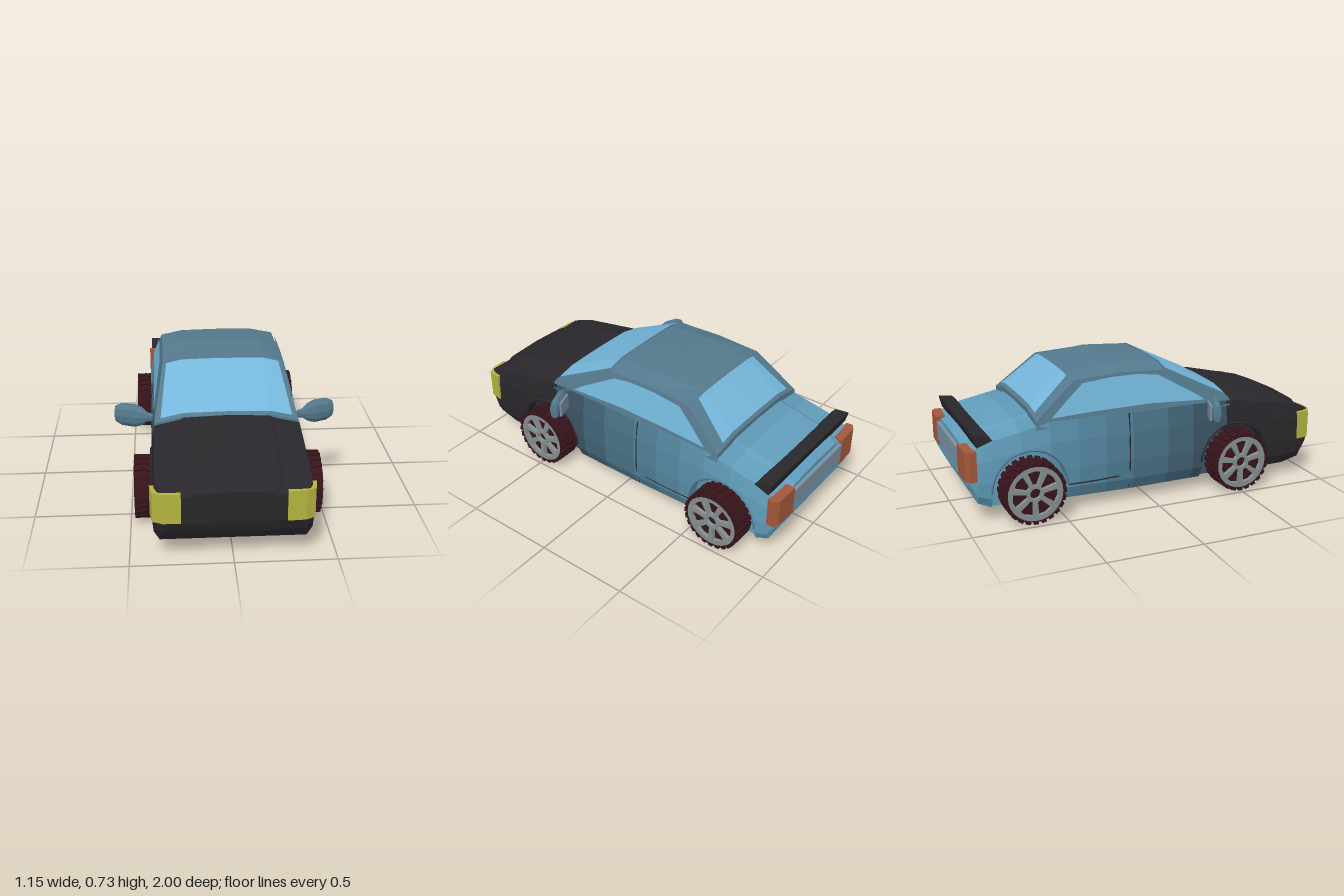
import * as THREE from 'three';
import { mergeGeometries } from 'three/addons/utils/BufferGeometryUtils.js';

const lerp = THREE.MathUtils.lerp;
const mat = (color) => new THREE.MeshStandardMaterial({ color, flatShading: true, side: THREE.DoubleSide });
const DARK = mat(0x29272b), GLASS = mat(0x74b6da), TYRE = mat(0x36141a), RIM = mat(0x848e90);
const YELLOW = mat(0xb4b440), ORANGE = mat(0xa4583a), CABIN = mat(0x54798d), PLATE = mat(0x7a90a2);

function add(parent, name, geo, material) {
  const m = new THREE.Mesh(geo, material);
  m.name = name;
  parent.add(m);
  return m;
}

// Skin over rings ordered front to back; each ring runs anticlockwise seen from the front
function loft(rings, closed, capFront, capBack) {
  const pos = [], idx = [], n = rings[0].length;
  rings.forEach((r) => r.forEach((p) => pos.push(...p)));
  for (let i = 0; i + 1 < rings.length; i++) {
    for (let j = 0; j < (closed ? n : n - 1); j++) {
      const a = i * n + j, b = i * n + (j + 1) % n, c = b + n, d = a + n;
      idx.push(a, d, c, a, c, b);
    }
  }
  const last = (rings.length - 1) * n;
  for (let j = 1; j < n - 1; j++) {
    if (capFront) idx.push(0, j, j + 1);
    if (capBack) idx.push(last, last + j + 1, last + j);
  }
  const g = new THREE.BufferGeometry();
  g.setAttribute('position', new THREE.Float32BufferAttribute(pos, 3));
  g.setIndex(idx);
  g.computeVertexNormals();
  return g;
}

// Flat panel fanned around its middle
function panel(pts) {
  const c = [0, 1, 2].map((k) => pts.reduce((s, p) => s + p[k], 0) / pts.length);
  const loop = [...pts, pts[0]];
  return loft([loop, loop.map(() => c)], false);
}

// Right half of a ring (bottom centre to top centre) completed by its mirror
const mirrorRing = (half, z) => [
  ...half.map(([x, y]) => [x, y, z]),
  ...half.slice(1, -1).reverse().map(([x, y]) => [-x, y, z]),
];

// Body stations: z, underside, shoulder height, top height, half width
const KEYS = [
  [0.995, 0.22, 0.355, 0.37, 0.33], [0.97, 0.16, 0.385, 0.395, 0.375], [0.93, 0.1, 0.4, 0.415, 0.388],
  [0.83, 0.075, 0.43, 0.455, 0.39], [0.5, 0.07, 0.485, 0.53, 0.39], [0.4, 0.07, 0.49, 0.525, 0.39],
  [-0.1, 0.065, 0.49, 0.5, 0.392], [-0.55, 0.07, 0.49, 0.52, 0.39], [-0.85, 0.075, 0.43, 0.455, 0.39],
  [-0.93, 0.11, 0.4, 0.415, 0.388], [-0.975, 0.2, 0.38, 0.39, 0.375],
];
const WHEEL_Z = [0.5, -0.665], ARCH = 0.195, AXLE_Y = 0.163;
const SIDE = [[0, 0.91], [0.15, 0.98], [0.4, 1], [0.75, 0.99], [1, 0.95]];

function keyAt(z) {
  let i = 0;
  while (i < KEYS.length - 2 && KEYS[i + 1][0] > z) i++;
  const a = KEYS[i], b = KEYS[i + 1], t = (a[0] - z) / (a[0] - b[0]);
  return a.map((v, k) => lerp(v, b[k], t));
}
function sideWidth(t) {
  let i = 0;
  while (i < SIDE.length - 2 && SIDE[i + 1][0] < t) i++;
  return lerp(SIDE[i][1], SIDE[i + 1][1], (t - SIDE[i][0]) / (SIDE[i + 1][0] - SIDE[i][0]));
}
function sideX(y, z) {
  const [, yb, ys, , w] = keyAt(z);
  return w * sideWidth(THREE.MathUtils.clamp((y - yb) / (ys - yb), 0, 1));
}
function bodyRing({ z, arch }) {
  const [, yb, ys, yt, w] = keyAt(z), k = w / 0.39;
  const ya = arch === undefined ? yb : AXLE_Y + arch;
  const inner = arch === undefined ? 0.91 * w : 0.33;
  const half = [[0, yb], [inner, yb], [inner, ya], [sideX(ya, z), ya]];
  for (const [t] of SIDE.slice(1)) {
    const y = Math.max(ya, lerp(yb, ys, t));
    half.push([sideX(y, z), y]);
  }
  half.push([0.24 * k, yt - 0.012], [0.215 * k, yt], [0, yt + 0.008]);
  return mirrorRing(half, z);
}

function addBody(car) {
  const body = new THREE.Group();
  body.name = 'body';
  car.add(body);
  // The paint fades from dark at the nose to blue at the tail
  const bands = [0.995, 0.45, 0.25, 0.1, -0.1, -0.25, -0.4, -0.55, -0.7, -0.975];
  const inArch = (z) => WHEEL_Z.find((c) => Math.abs(z - c) < ARCH);
  const stations = [...KEYS.map((k) => k[0]), ...bands].map((z) => {
    const c = inArch(z);
    return { z, arch: c === undefined ? undefined : Math.sqrt(ARCH ** 2 - (z - c) ** 2), o: 0 };
  });
  for (const c of WHEEL_Z) {
    for (let i = 0; i <= 12; i++) {
      const a = (i / 12) * Math.PI;
      stations.push({ z: c + ARCH * Math.cos(a), arch: ARCH * Math.sin(a), o: 0 });
    }
    stations.push({ z: c + ARCH, o: -1 }, { z: c - ARCH, o: 1 });
  }
  stations.sort((a, b) => (Math.abs(a.z - b.z) > 1e-6 ? b.z - a.z : a.o - b.o));
  for (let i = 0; i + 1 < bands.length; i++) {
    const rings = stations.filter((s) => s.z <= bands[i] + 1e-6 && s.z >= bands[i + 1] - 1e-6).map(bodyRing);
    const t = i === 0 ? 0 : THREE.MathUtils.clamp((0.65 - (bands[i] + bands[i + 1]) / 2) / 1.4, 0, 1);
    const paint = mat(0x29272b);
    paint.color.lerp(new THREE.Color(0x619dbb), t);
    add(body, 'bodyPanel', loft(rings, true, i === 0, i === bands.length - 2), paint);
  }
}

// Cabin stations: z, roof height, roof edge height, edge half width, flat half width
const ROOF = [
  [0.47, 0.532, 0.5, 0.367, 0.22], [0.1, 0.71, 0.685, 0.32, 0.22], [-0.15, 0.725, 0.695, 0.318, 0.22],
  [-0.4, 0.703, 0.68, 0.321, 0.2], [-0.62, 0.53, 0.5, 0.367, 0.22],
];

function addCabin(car) {
  const cabin = new THREE.Group();
  cabin.name = 'cabin';
  car.add(cabin);
  add(cabin, 'roof', loft(ROOF.map(([z, y, ye, we, wf]) =>
    mirrorRing([[0, 0.46], [0.375, 0.46], [we, ye], [wf, y], [0, y + 0.004]], z)), true, true, true), CABIN);

  // Front and rear screens lie just above the sloping roof faces
  const row = (a, b, t, f) => {
    const [z, y, ye, we, wf] = a.map((v, k) => lerp(v, b[k], t));
    const half = [[lerp(wf, we, f), lerp(y, ye, f)], [wf, y], [0, y + 0.004]];
    const up = half.map(([x, h]) => [x, h + 0.006, z + Math.sign(z + 0.15) * 0.003]);
    return [...up, ...up.slice(0, -1).reverse().map(([x, h, d]) => [-x, h, d])];
  };
  add(cabin, 'windscreen', loft([row(ROOF[0], ROOF[1], 0.05, 0.8), row(ROOF[0], ROOF[1], 0.97, 0.8)]), GLASS);
  add(cabin, 'rearWindow', loft([row(ROOF[3], ROOF[4], 0.06, 0.4), row(ROOF[3], ROOF[4], 0.93, 0.6)]), GLASS);

  const outline = [[0.32, 0.51], [0.27, 0.545], [0.06, 0.665], [-0.05, 0.68], [-0.2, 0.68], [-0.36, 0.665],
    [-0.45, 0.59], [-0.54, 0.51], [-0.3, 0.52], [0, 0.525]];
  for (const s of [1, -1]) {
    const pts = outline.map(([z, y]) => [s * (0.383 - 0.05 * (y - 0.46) / 0.225), y, z]);
    add(cabin, 'sideWindow', panel(s > 0 ? pts : pts.reverse()), GLASS);
  }
}

function wheelGeometries() {
  const profile = [[0, -0.06], [0.13, -0.065], [0.154, -0.055], [0.154, 0.055], [0.15, 0.064], [0.145, 0.064],
    [0.14, 0.035], [0, 0.035]].map((p) => new THREE.Vector2(...p));
  const tyre = new THREE.LatheGeometry(profile, 28).rotateX(Math.PI / 2);
  // Two rows of slanted tread blocks
  const blocks = [tyre];
  for (let i = 0; i < 24; i++) {
    for (const s of [1, -1]) {
      blocks.push(new THREE.BoxGeometry(0.014, 0.026, 0.06).rotateX(s * 0.2)
        .translate(0.156, 0, s * 0.032).rotateZ(((i + s * 0.1) / 24) * Math.PI * 2));
    }
  }
  const disc = new THREE.Shape().absarc(0, 0, 0.145, 0, Math.PI * 2);
  disc.holes.push(new THREE.Path().absarc(0, 0, 0.028, 0, Math.PI * 2, true));
  for (let i = 0; i < 7; i++) {
    const a = (i / 7) * Math.PI * 2 + Math.PI / 2;
    const hole = [[0.045, -0.22], [0.118, -0.32], [0.121, 0], [0.118, 0.32], [0.045, 0.22]];
    disc.holes.push(new THREE.Path(hole.map(([r, d]) =>
      new THREE.Vector2(r * Math.cos(a + d), r * Math.sin(a + d)))));
  }
  const rim = new THREE.ExtrudeGeometry(disc, { depth: 0.022, bevelEnabled: false, curveSegments: 14 });
  return { tyre: mergeGeometries(blocks), rim: rim.translate(0, 0, 0.038) };
}

// Plan outline (x, z) raised between two heights
function lamp(plan, y0, y1) {
  const shape = new THREE.Shape(plan.map(([x, z]) => new THREE.Vector2(x, -z)));
  return new THREE.ExtrudeGeometry(shape, { depth: y1 - y0, bevelEnabled: false })
    .rotateX(-Math.PI / 2).translate(0, y0, 0);
}

function addMirror(car, s) {
  const mirror = new THREE.Group();
  mirror.name = 'wingMirror';
  const profile = [[0, 0], [0.02, 0], [0.026, 0.03], [0.05, 0.06], [0.064, 0.1], [0.062, 0.17], [0.045, 0.205], [0, 0.21]];
  const pod = new THREE.LatheGeometry(profile.map((p) => new THREE.Vector2(...p)), 10)
    .rotateZ(-s * Math.PI / 2).scale(1, 1, 0.5);
  add(mirror, 'mirrorPod', pod, CABIN);
  add(mirror, 'mirrorGlass', new THREE.BoxGeometry(0.1, 0.08, 0.01).translate(s * 0.135, 0, -0.03), PLATE);
  mirror.position.set(s * 0.375, 0.485, 0.36);
  mirror.rotation.y = s * 0.35;
  car.add(mirror);
}

export function createModel() {
  const car = new THREE.Group();
  car.name = 'car';
  addBody(car);
  addCabin(car);

  const wheel = wheelGeometries();
  const seam = (pts, s) => new THREE.TubeGeometry(new THREE.CatmullRomCurve3(
    pts.map(([z, y]) => new THREE.Vector3(s * sideX(y, z), y, z))), 12, 0.004, 4);
  for (const s of [1, -1]) {
    for (const z of WHEEL_Z) {
      const g = new THREE.Group();
      g.name = 'wheel';
      add(g, 'tyre', wheel.tyre, TYRE);
      add(g, 'rim', wheel.rim, RIM);
      g.position.set(s * 0.413, AXLE_Y, z);
      g.rotation.y = s * Math.PI / 2;
      car.add(g);
      // Rolled lip over the wheel arch
      const lip = new THREE.TorusGeometry(ARCH + 0.003, 0.006, 4, 16, Math.PI).rotateY(Math.PI / 2);
      add(car, 'archLip', lip, z > 0 ? DARK : CABIN).position.set(s * 0.387, AXLE_Y, z);
    }
    addMirror(car, s);
    add(car, 'doorSeam', seam([[-0.12, 0.08], [-0.12, 0.2], [-0.12, 0.35], [-0.12, 0.49]], s), DARK);
    add(car, 'sillLine', seam([[-0.18, 0.155], [-0.32, 0.15], [-0.46, 0.15]], s), DARK);
    const mirrored = (plan) => plan.map(([x, z]) => [s * x, z]);
    add(car, 'headlight', lamp(mirrored([[0.25, 1], [0.34, 0.995], [0.385, 0.97], [0.397, 0.9], [0.25, 0.9]]),
      0.22, 0.375), YELLOW);
    add(car, 'tailLight', lamp(mirrored([[0.24, -0.995], [0.37, -0.99], [0.4, -0.97], [0.395, -0.935], [0.24, -0.935]]),
      0.24, 0.395), ORANGE);
  }

  // Lower intake, following the slope under the nose
  const intake = [[-0.225, 0.155], [0.225, 0.155], [0.23, 0.205], [0, 0.235], [-0.23, 0.205]];
  add(car, 'frontIntake', panel(intake.map(([x, y]) => [x, y, Math.min(0.998, 0.972 + (y - 0.155) * 0.42)])), DARK);
  add(car, 'rearPanel', new THREE.BoxGeometry(0.48, 0.1, 0.03).translate(0, 0.32, -0.978), PLATE);

  // Tail spoiler
  const blade = new THREE.Shape([[0.85, 0.44], [0.93, 0.41], [0.945, 0.472], [0.87, 0.463]].map((p) => new THREE.Vector2(...p)));
  add(car, 'spoiler', new THREE.ExtrudeGeometry(blade, { depth: 0.77, bevelEnabled: false })
    .translate(0, 0, -0.385).rotateY(Math.PI / 2).scale(1, 1, 1), DARK);
  return car;
}
